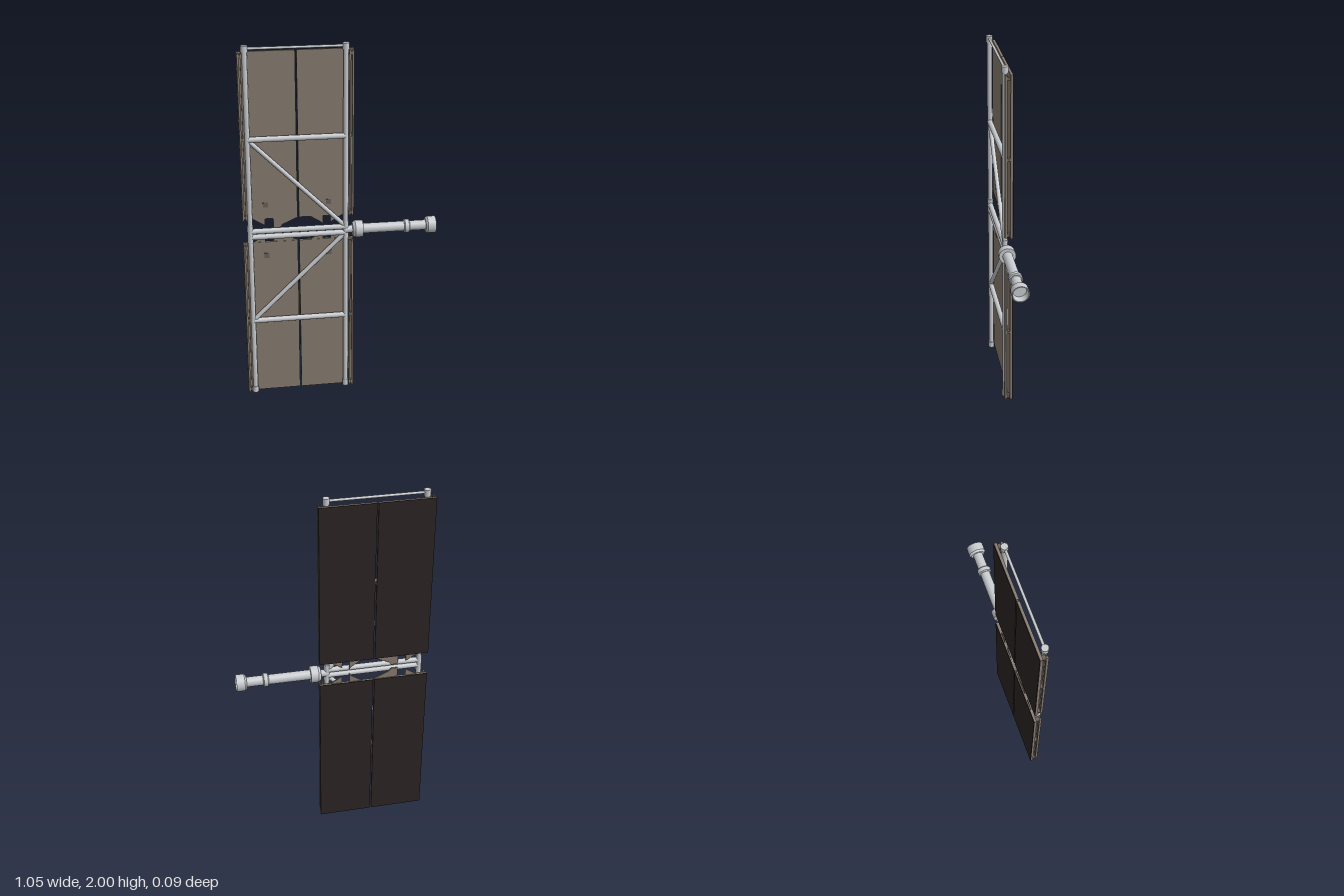
import * as THREE from 'three';

const mat = (name, color, side = THREE.FrontSide) => {
  const m = new THREE.MeshStandardMaterial({ color, side });
  m.name = name;
  return m;
};

export function createModel() {
  const root = new THREE.Group();
  root.name = 'solarArray';
  const metal = mat('paleMetal', 0xc9ccd0);
  const cupMetal = mat('cupMetal', 0xc9ccd0, THREE.DoubleSide);
  const tan = mat('panelBacking', 0x877b6f);
  const cells = mat('darkCells', 0x2b2424);
  const brown = mat('edgeBrown', 0x6b6058);
  const MID = 0.977;

  const add = (name, geo, material, parent = root) => {
    const m = new THREE.Mesh(geo, material);
    m.name = name;
    parent.add(m);
    return m;
  };
  const box = (name, x0, x1, y0, y1, z0, z1, material, parent) =>
    add(name, new THREE.BoxGeometry(x1 - x0, y1 - y0, z1 - z0), material, parent)
      .position.set((x0 + x1) / 2, (y0 + y1) / 2, (z0 + z1) / 2);
  // Round strut between two points
  const strut = (name, a, b, r, parent) => {
    const p = new THREE.Vector3(...a), q = new THREE.Vector3(...b);
    const d = q.clone().sub(p);
    const m = add(name, new THREE.CylinderGeometry(r, r, d.length(), 16), metal, parent);
    m.position.copy(p).add(q).multiplyScalar(0.5);
    m.quaternion.setFromUnitVectors(new THREE.Vector3(0, 1, 0), d.normalize());
  };

  // Truss frame: uprights with end caps
  const frame = new THREE.Group();
  frame.name = 'trussFrame';
  root.add(frame);
  const L = -0.487, R = 0.03;
  for (const x of [L, R]) {
    strut('upright', [x, 0.01, 0], [x, 1.97, 0], 0.014, frame);
    strut('topCap', [x, 1.967, 0], [x, 2.0, 0], 0.018, frame);
    strut('bottomCap', [x, 0.008, 0], [x, 0.045, 0], 0.017, frame);
    strut('hingeCollar', [x, 0.93, 0], [x, 1.03, 0], 0.016, frame);
  }
  strut('topBar', [L, 1.985, 0], [R, 1.985, 0], 0.007, frame);
  for (const y of [0.46, 0.961, 0.994, 1.508])
    strut('crossbar', [L, y, 0], [R, y, 0], 0.015, frame);
  strut('diagonal', [-0.475, 1.497, 0], [0.025, 1.0, 0], 0.012, frame);
  strut('diagonal', [-0.475, 0.471, 0], [0.025, 0.955, 0], 0.012, frame);

  // Two wings, each with two panels, rails, latches and hinge brackets
  const brackets = [
    [[-0.36, 0], [-0.225, 0], [-0.31, -0.038], [-0.325, -0.055], [-0.36, -0.055]],
    [[-0.16, 0], [-0.09, 0], [-0.09, -0.055], [-0.10, -0.038]],
    [[-0.47, 0], [-0.405, 0], [-0.405, -0.04]],
    [[-0.05, 0], [0.015, 0], [-0.05, -0.04]],
  ];
  for (const [name, y0, y1, s] of [['upperWing', 1.055, 1.966, 1], ['lowerWing', 0.004, 0.92, -1]]) {
    const wing = new THREE.Group();
    wing.name = name;
    root.add(wing);
    for (const [x0, x1] of [[-0.527, -0.229], [-0.221, 0.075]]) {
      box('panel', x0, x1, y0, y1, -0.034, -0.022, tan, wing);
      box('cellSheet', x0, x1, y0, y1, -0.038, -0.034, cells, wing);
    }
    // Slim paired rails along the outer edges
    for (const [x0, x1] of [[-0.525, -0.515], [-0.508, -0.5], [0.048, 0.056], [0.063, 0.073]])
      box('edgeRail', x0, x1, y0 + 0.004, y1 - 0.004, -0.006, 0.006, tan, wing);
    for (const xc of [-0.512, 0.06])
      for (const y of [y0 + 0.02, (y0 + y1) / 2, y1 - 0.02])
        box('railClip', xc - 0.012, xc + 0.012, y - 0.008, y + 0.008, -0.024, 0.004, brown, wing);
    const inner = s > 0 ? y0 : y1;
    for (const x of [-0.4, -0.06])
      box('latch', x - 0.014, x + 0.014, inner + s * 0.08 - 0.014, inner + s * 0.08 + 0.014,
        -0.022, -0.019, brown, wing);
    for (const pts of brackets) {
      const shape = new THREE.Shape(pts.map(([x, y]) => new THREE.Vector2(x, inner + s * y)));
      add('hingeBracket', new THREE.ExtrudeGeometry(shape, { depth: 0.006, bevelEnabled: false }),
        tan, wing).position.z = -0.03;
    }
  }

  // Mounting arm along +x, turned from profiles of [x, radius]
  const arm = new THREE.Group();
  arm.name = 'mountingArm';
  root.add(arm);
  const turned = (name, sections, material) => {
    // Separate bands keep the edges crisp
    for (let i = 0; i < sections.length - 1; i++) {
      const pts = [sections[i], sections[i + 1]].map(([x, r]) => new THREE.Vector2(r, x));
      const m = add(name, new THREE.LatheGeometry(pts, 28), material, arm);
      m.rotation.z = -Math.PI / 2;
      m.position.y = MID;
    }
  };
  turned('hubStub', [[0.03, 0], [0.03, 0.02], [0.07, 0.02]], cupMetal);
  turned('rootCollar', [[0.066, 0], [0.066, 0.036], [0.08, 0.046], [0.122, 0.046], [0.122, 0]], cupMetal);
  turned('tube', [[0.12, 0.027], [0.48, 0.027]], cupMetal);
  turned('midRing', [[0.35, 0.027], [0.35, 0.032], [0.355, 0.037], [0.376, 0.037],
    [0.381, 0.032], [0.381, 0.027]], cupMetal);
  turned('endCup', [[0.47, 0.027], [0.47, 0.037], [0.48, 0.046], [0.525, 0.046],
    [0.525, 0.041], [0.485, 0.036], [0.485, 0]], cupMetal);
  return root;
}
